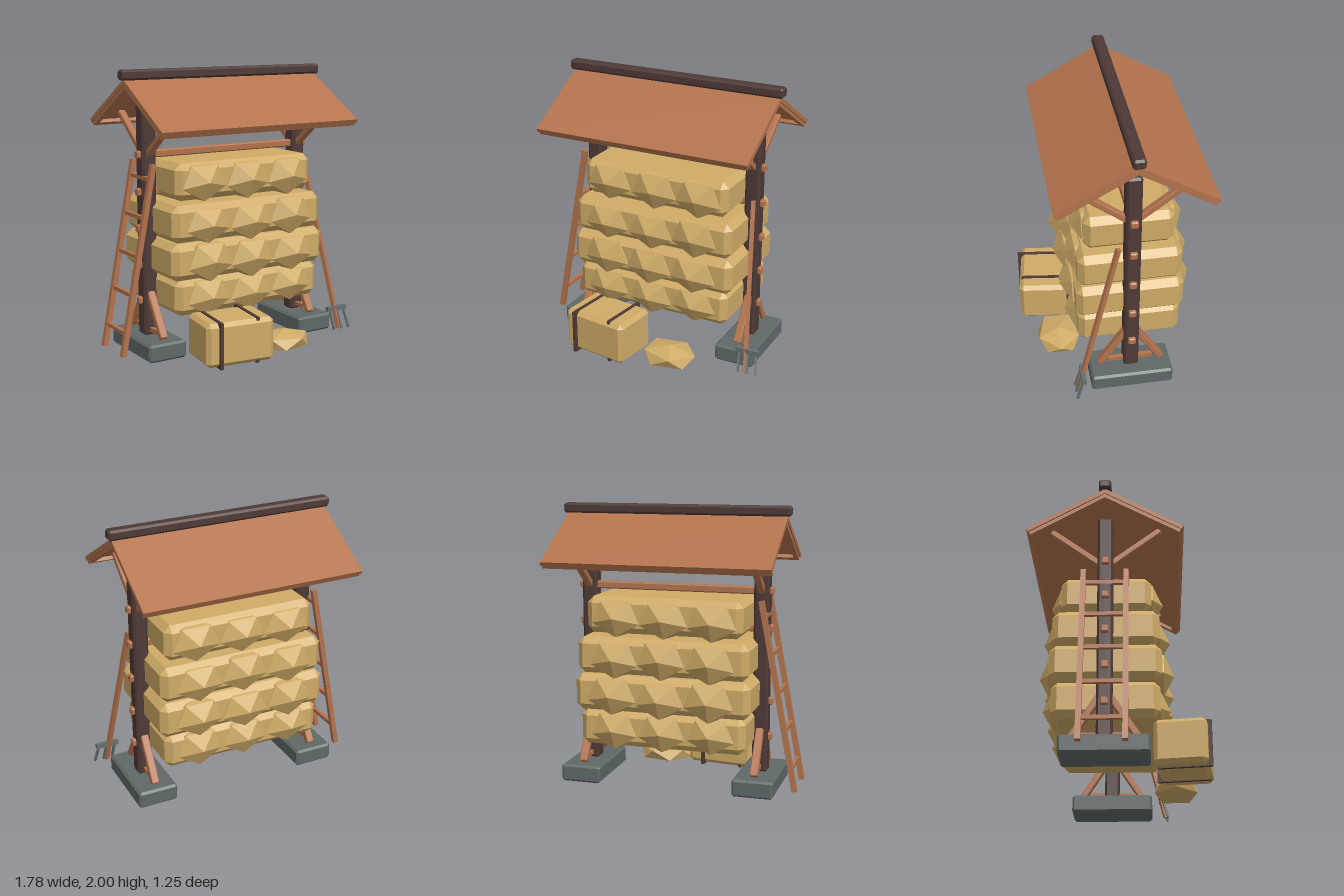
import * as THREE from 'three';
import { ConvexGeometry } from 'three/addons/geometries/ConvexGeometry.js';

const flat = (name, color) => {
  const m = new THREE.MeshStandardMaterial({ color, flatShading: true });
  m.name = name;
  return m;
};

export function createModel() {
  const root = new THREE.Group();
  root.name = 'hayRack';
  const wood = flat('warm wood', 0xb3734d);
  const dark = flat('dark timber', 0x4e3a36);
  const stone = flat('stone', 0x5f6968);
  const metal = flat('fork metal', 0x667070);
  const hay = flat('hay', 0xcfab67);

  const CX = 0.0275, CZ = -0.088, POST = 0.6275; // rack centre and post offset

  const add = (name, geo, mat, x = 0, y = 0, z = 0, parent = root) => {
    const m = new THREE.Mesh(geo, mat);
    m.name = name;
    m.position.set(x, y, z);
    parent.add(m);
    return m;
  };

  // Box with chamfered edges and corners
  const chamferBox = (w, h, d, c) => {
    const pts = [];
    for (const i of [-1, 1]) for (const j of [-1, 1]) for (const k of [-1, 1]) {
      const a = w / 2, b = h / 2, e = d / 2;
      pts.push(
        new THREE.Vector3(i * a, j * (b - c), k * (e - c)),
        new THREE.Vector3(i * (a - c), j * b, k * (e - c)),
        new THREE.Vector3(i * (a - c), j * (b - c), k * e));
    }
    return new ConvexGeometry(pts);
  };

  // Square bar between two points
  const beam = (name, p, q, w, h, mat, c = 0) => {
    const a = new THREE.Vector3(...p), b = new THREE.Vector3(...q);
    const len = a.distanceTo(b);
    const m = add(name, c ? chamferBox(w, h, len, c) : new THREE.BoxGeometry(w, h, len), mat);
    m.position.copy(a).add(b).multiplyScalar(0.5);
    m.lookAt(b);
    return m;
  };

  // Faceted tuft with one point facing +z
  const tuft = () => new THREE.IcosahedronGeometry(1, 0).rotateX(Math.atan(0.618));
  let seed = 7;
  const jitter = (s) => {
    seed = (seed * 16807) % 2147483647;
    return (seed / 2147483647 - 0.5) * 2 * s;
  };

  // Footings, posts and braces
  for (const s of [-1, 1]) {
    const x = CX + s * POST;
    add('footing', chamferBox(0.288, 0.124, 0.58, 0.015), stone, x, 0.084, CZ + 0.003);
    add('post', chamferBox(0.108, 1.63, 0.106, 0.015), dark, x, 0.957, CZ);
    beam('footTie', [x, 0.185, CZ - 0.16], [x, 0.185, CZ + 0.16], 0.03, 0.03, wood);
    for (const t of [-1, 1]) {
      beam('footBrace', [x, 0.455, CZ + t * 0.03], [x, 0.16, CZ + t * 0.222], 0.055, 0.045, wood, 0.006);
      beam('roofBrace', [x, 1.42, CZ + t * 0.03], [x, 1.685, CZ + t * 0.375], 0.05, 0.042, wood, 0.006);
    }
  }

  // Crossbars running through both posts
  for (const y of [0.395, 0.65, 0.907, 1.163, 1.422])
    add('crossbar', chamferBox(1.415, 0.052, 0.052, 0.008), wood, CX, y, CZ);

  // Roof: boards, end rafters, eaves and ridge
  const dz = 0.868, dy = 0.497;
  for (const t of [-1, 1]) {
    const at = (along, depth, x) => [x, 1.935 - along * dy - depth * dz, CZ + t * (along * dz - depth * dy)];
    beam('roofBoard', at(0, 0.015, CX), at(0.617, 0.015, CX), 1.585, 0.03, wood);
    for (const s of [-1, 1])
      beam('rafter', at(0, 0.042, CX + s * 0.765), at(0.61, 0.042, CX + s * 0.765), 0.035, 0.025, wood);
    beam('eave', at(0.57, 0.042, CX), at(0.612, 0.042, CX), 1.565, 0.026, wood);
  }
  add('ridgeBeam', chamferBox(1.635, 0.07, 0.085, 0.014), dark, CX, 1.965, CZ);

  // Stacked hay: each row is [centre y, width, depth, tuft reach]
  const rows = [
    [0.462, 1.18, 0.72, 0.43],
    [0.712, 1.25, 0.75, 0.457],
    [0.972, 1.22, 0.72, 0.433],
    [1.25, 1.11, 0.62, 0.388],
  ];
  for (const [y, w, d, reach] of rows) {
    add('hayLayer', chamferBox(w, 0.255, d, 0.045), hay, CX, y, CZ);
    for (const t of [-1, 1]) for (const i of [-1, 0, 1]) {
      const lump = add('hayTuft', tuft(), hay, CX + i * 0.343 + jitter(0.008), y - 0.012 + jitter(0.012), CZ + t * (reach - 0.13));
      lump.scale.set(0.2, 0.15 + jitter(0.012), 0.13);
      if (t < 0) lump.rotation.y = Math.PI;
    }
  }

  // Tied bale on the ground
  const bale = add('bale', chamferBox(0.5, 0.305, 0.35, 0.028), hay, -0.235, 0.197, 0.425);
  bale.rotation.y = -0.13;
  for (const s of [-1, 1])
    add('baleStrap', new THREE.BoxGeometry(0.022, 0.32, 0.36), dark, -0.248 + s * 0.143, 0.197, 0.425).rotation.y = -0.13;

  // Loose heap of hay
  const heap = tuft().rotateX(-Math.PI / 2).rotateY(0.3).rotateZ(-0.08);
  heap.scale(0.222, 0.08, 0.175);
  heap.computeBoundingBox();
  add('looseHay', heap, hay, 0.235, -heap.boundingBox.min.y, 0.375);

  // Ladder leaning on one post
  const ladder = (f, z) => [-0.872 + f * 0.25, 0.055 + f * 1.315, z];
  for (const z of [-0.238, 0.052])
    beam('ladderRail', ladder(0, z), ladder(1, z), 0.036, 0.036, wood);
  for (const f of [0.12, 0.32, 0.52, 0.72, 0.92])
    beam('ladderRung', ladder(f, -0.238), ladder(f, 0.052), 0.026, 0.026, wood);

  // Pitchfork leaning on the other post
  beam('forkHandle', [0.795, 0.055, 0.307], [0.69, 1.21, 0.01], 0.03, 0.03, wood);
  add('forkBar', new THREE.BoxGeometry(0.17, 0.034, 0.03), metal, 0.795, 0.2, 0.272);
  for (const i of [-1, 0, 1])
    beam('forkTine', [0.797 + i * 0.062, 0.195, 0.275], [0.812 + i * 0.067, 0.05, 0.322], 0.015, 0.015, metal);

  return root;
}
